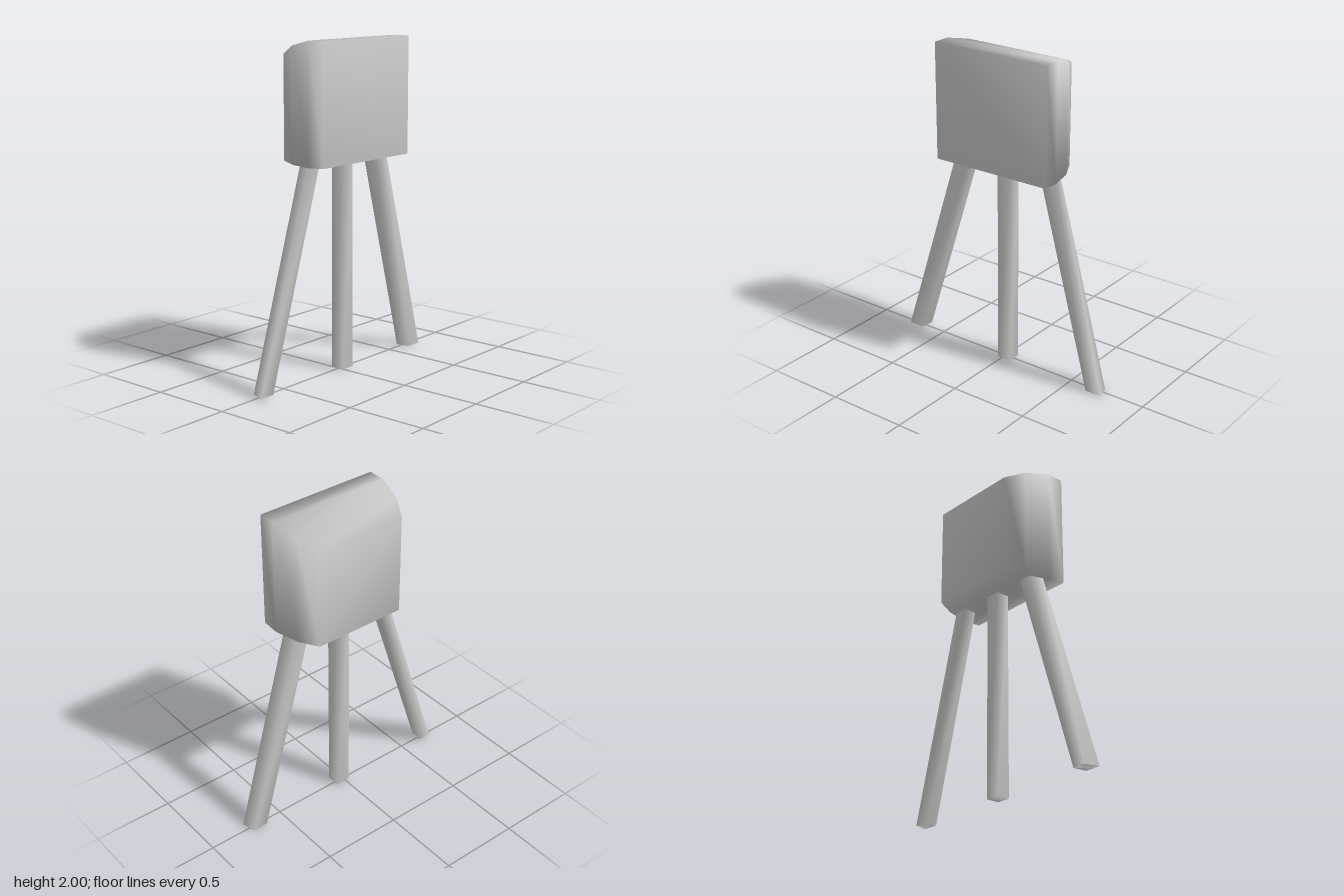
import * as THREE from 'three';

// Skin a row of four-cornered rings, with both ends closed and shared smooth normals.
// Ring corners run counter-clockwise about the direction of travel.
function loft(rings) {
  const index = [];
  for (let i = 0; i < rings.length - 1; i++) {
    for (let j = 0; j < 4; j++) {
      const a = i * 4 + j, b = i * 4 + (j + 1) % 4, c = b + 4, d = a + 4;
      index.push(a, b, c, a, c, d);
    }
  }
  const e = (rings.length - 1) * 4;
  index.push(0, 2, 1, 0, 3, 2, e, e + 1, e + 2, e, e + 2, e + 3);
  const geo = new THREE.BufferGeometry();
  geo.setAttribute('position', new THREE.Float32BufferAttribute(rings.flat(2), 3));
  geo.setIndex(index);
  geo.computeVertexNormals();
  return geo;
}

export function createModel() {
  const group = new THREE.Group();
  const material = new THREE.MeshStandardMaterial({ color: 0xcccccc });
  const add = (name, geo) => {
    const mesh = new THREE.Mesh(geo, material);
    mesh.name = name;
    group.add(mesh);
  };

  // Body: slices along x that taper in height and depth towards -x
  const slices = [ // x, bottom, top, back z, front z
    [-0.195, 1.29, 1.91, -0.32, 0.265],
    [-0.075, 1.283, 1.965, -0.38, 0.325],
    [0.08, 1.283, 2, -0.418, 0.36],
    [0.19, 1.29, 2, -0.418, 0.36],
  ];
  add('body', loft(slices.map(([x, y0, y1, z0, z1]) =>
    [[x, y0, z0], [x, y1, z0], [x, y1, z1], [x, y0, z1]])));

  // Legs: slim square posts, the outer two splayed and slightly skewed
  const leg = (name, foot, top, y, skewBack, skewFront) => {
    const ring = (h, [z0, z1], x1, s0, s1) =>
      [[-0.035, h, z0], [-0.035, h, z1], [x1, h, z1 + s1], [x1, h, z0 + s0]];
    add(name, loft([ring(y, foot, 0.05, skewBack, skewFront), ring(1.3, top, 0.047, skewBack, skewFront)]));
  };
  leg('frontLeg', [0.63, 0.712], [0.215, 0.3], 0.012, 0.01, 0.028);
  leg('middleLeg', [-0.07, 0.022], [-0.07, 0.022], 0.008, 0, 0);
  leg('backLeg', [-0.718, -0.625], [-0.363, -0.27], 0, -0.025, -0.01);

  return group;
}
